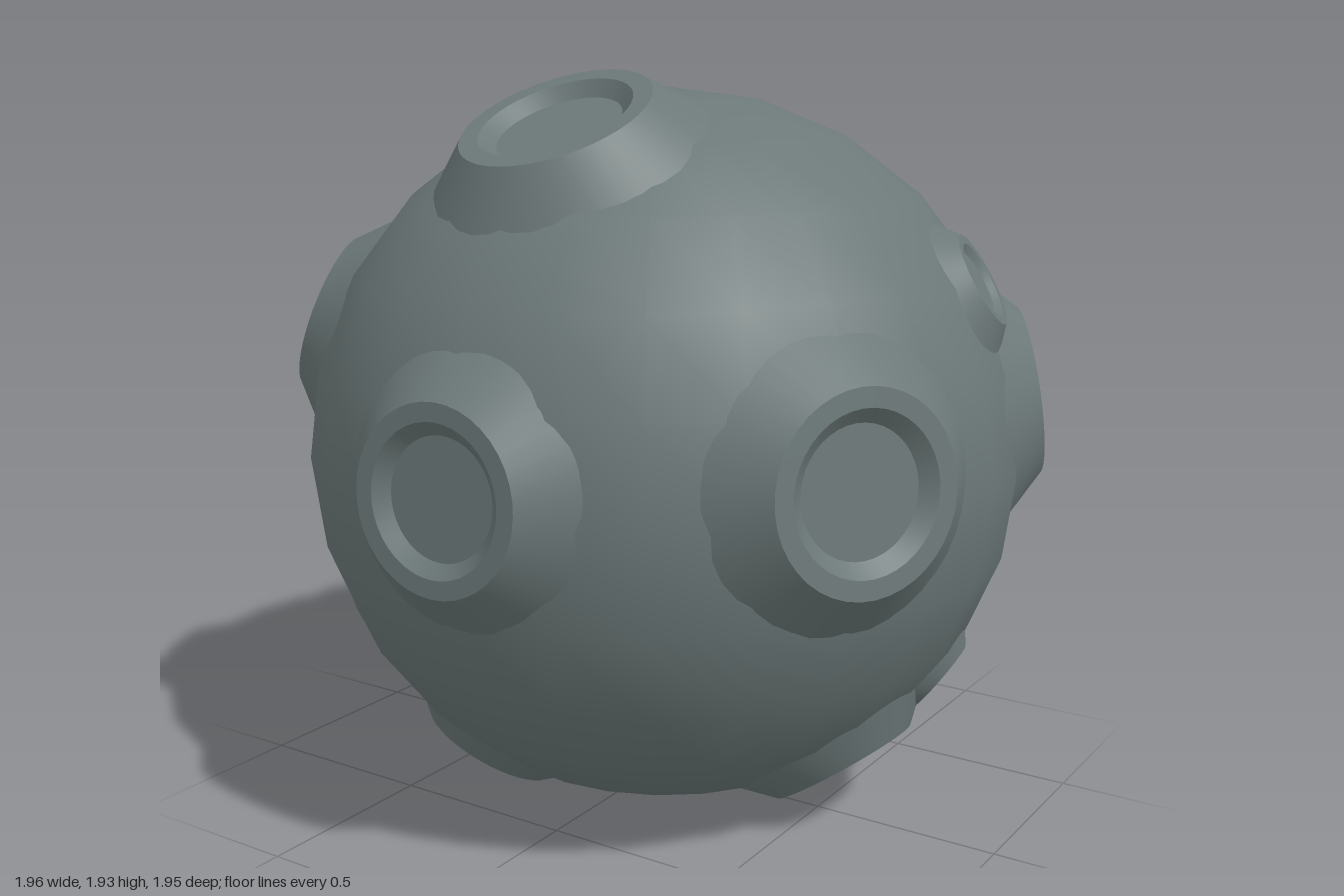
import * as THREE from 'three';
import { toCreasedNormals } from 'three/addons/utils/BufferGeometryUtils.js';

const R = 0.943; // body radius
const UP = new THREE.Vector3(0, 1, 0);

// Raised crater: sloping skirt, flat rim, inner wall and flat floor, along +y
function craterGeometry(r) {
  const rim = R + 0.15 * r;
  const floor = R + 0.004;
  const skirt = 1.48 * r;
  const profile = [
    [skirt, Math.sqrt(R * R - skirt * skirt) - 0.015],
    [r, rim],
    [0.8 * r, rim],
    [0.65 * r, floor],
    [0, floor],
  ].map(([x, y]) => new THREE.Vector2(x, y));
  return toCreasedNormals(new THREE.LatheGeometry(profile, 40), 0.4);
}

export function createModel() {
  const stone = new THREE.MeshStandardMaterial({ color: 0x6c7878 });
  stone.name = 'grey stone';

  const model = new THREE.Group();
  model.name = 'crateredMoon';

  const moon = new THREE.Group();
  moon.name = 'moon';
  moon.position.set(0.012, 0.948, 0);
  model.add(moon);

  const body = new THREE.Mesh(new THREE.SphereGeometry(R, 24, 12), stone);
  body.name = 'body';
  moon.add(body);

  // Craters: direction from the centre, rim radius
  const craters = [
    ['frontCrater', 0.015, 0.05, 0.97, 0.225],
    ['topCrater', -0.035, 0.87, 0.43, 0.245],
    ['leftFrontCrater', 0.855, 0.08, 0.49, 0.24],
    ['leftBackCrater', 0.825, 0.15, -0.5, 0.225],
    ['upperLeftCrater', 0.8, 0.47, -0.2, 0.125],
    ['tinyLeftCrater', 0.725, 0.47, -0.425, 0.058],
    ['smallLowerLeftCrater', 0.74, -0.57, -0.175, 0.105],
    ['lowerLeftCrater', 0.565, -0.8, 0, 0.2],
    ['lowerFrontCrater', -0.365, -0.83, 0.32, 0.19],
    ['smallLowerRightCrater', -0.705, -0.485, 0.42, 0.1],
    ['rightFrontCrater', -0.8, 0.33, 0.39, 0.215],
    ['upperBackCrater', -0.425, 0.77, -0.39, 0.175],
    ['backCrater', -0.295, 0.52, -0.78, 0.25],
    ['largeRightCrater', -0.88, -0.22, -0.46, 0.285],
    ['lowerBackCrater', 0.28, -0.36, -0.87, 0.21],
  ];
  for (const [name, x, y, z, r] of craters) {
    const crater = new THREE.Mesh(craterGeometry(r), stone);
    crater.name = name;
    crater.quaternion.setFromUnitVectors(UP, new THREE.Vector3(x, y, z).normalize());
    moon.add(crater);
  }
  return model;
}
